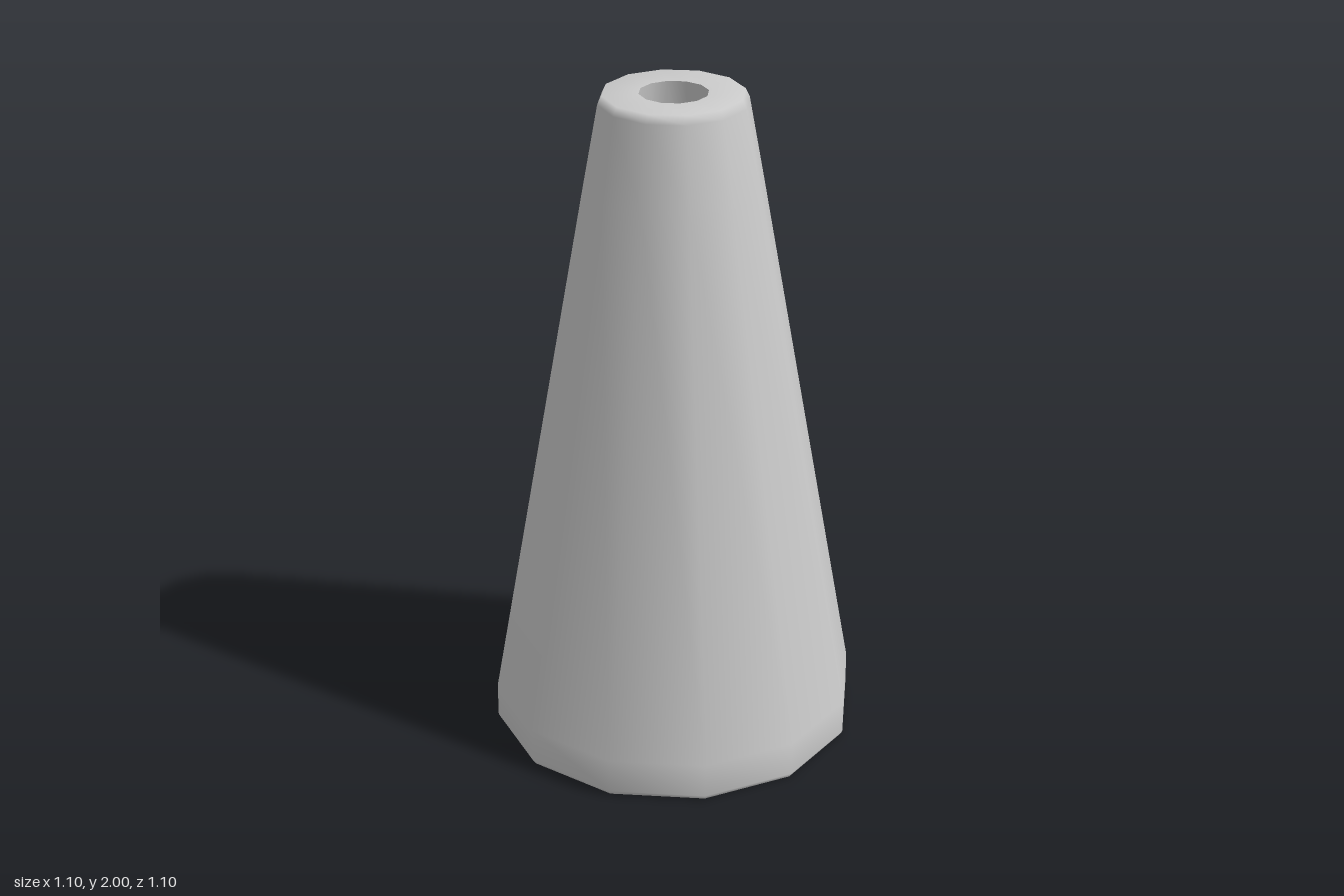
import * as THREE from 'three';

const SIDES = 12;
const TURN = THREE.MathUtils.degToRad(1.5);

// One turned surface from [radius, height] points; separate surfaces keep the edges between them sharp
function turned(name, profile, material) {
  const points = profile.map(([r, y]) => new THREE.Vector2(r, y));
  const mesh = new THREE.Mesh(new THREE.LatheGeometry(points, SIDES, TURN), material);
  mesh.name = name;
  return mesh;
}

export function createModel() {
  const group = new THREE.Group();
  group.name = 'hollowCone';
  const grey = new THREE.MeshStandardMaterial({ color: 0xcccccc });

  group.add(
    // Straight foot band, tapering wall and bevelled top rim
    turned('outerWall', [
      [0.54, 0], [0.55, 0.015], [0.55, 0.12], [0.262, 1.73],
      [0.217, 1.975], [0.205, 2], [0.1, 2],
    ], grey),
    // Tapering hole running right through, facing inwards
    turned('bore', [[0.1, 2], [0.405, 0.1], [0.405, 0]], grey),
    // Flat ring the cone stands on
    turned('baseRing', [[0.405, 0], [0.54, 0]], grey),
  );
  return group;
}
